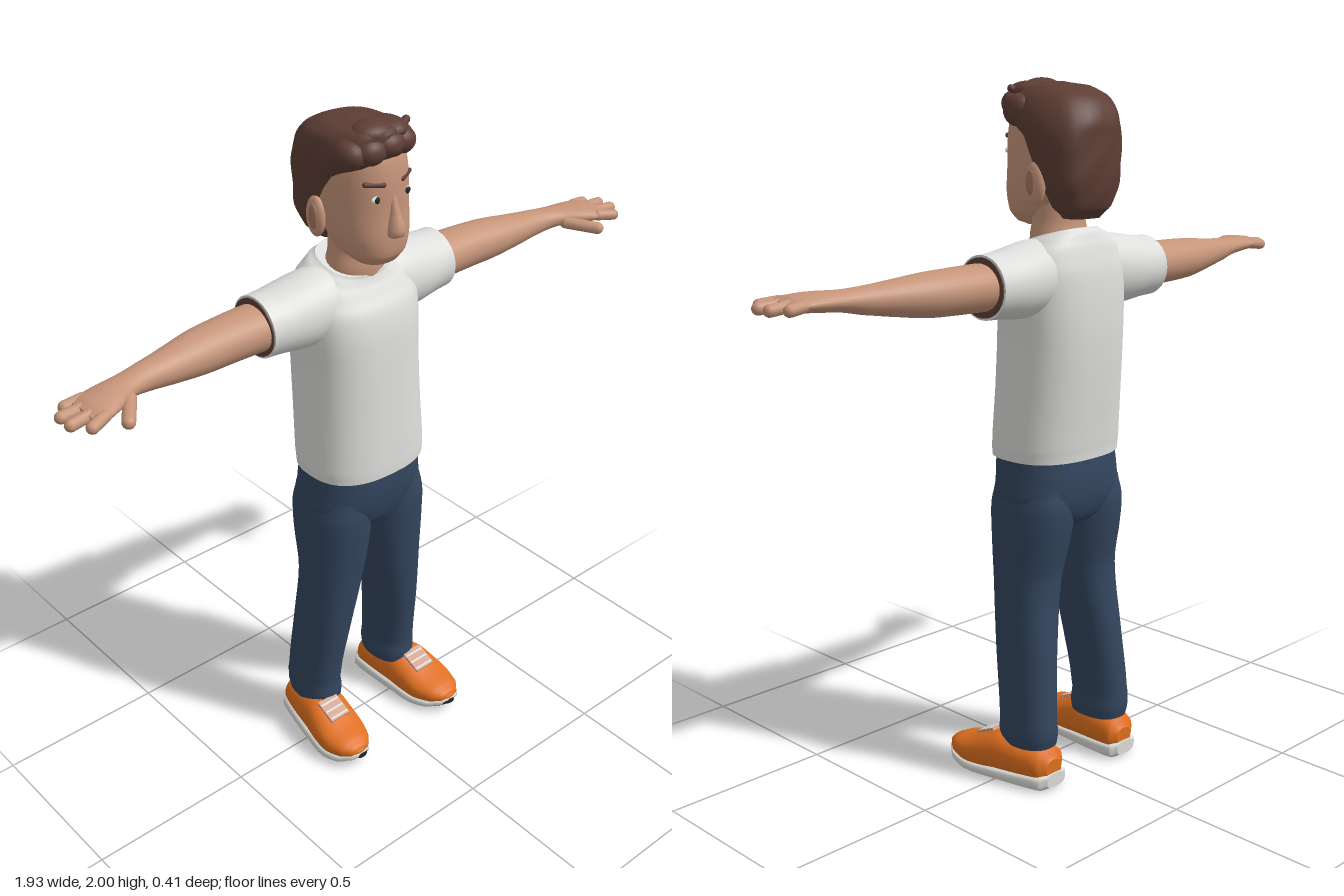
import * as THREE from 'three';

const mat = (name, color) => {
  const m = new THREE.MeshStandardMaterial({ color });
  m.name = name;
  return m;
};

// Smooth tube along axis k (0 x, 1 y, 2 z), capped at both ends.
// Section: [position, centreA, centreB, radiusA, radiusB], where B and A are the next two axes.
function loft(k, sections, { sides = 28, steps = 4, power = 2, warp } = {}) {
  const rows = [];
  const last = sections.length - 1;
  for (let i = 0; i < last; i++) {
    const [p, a, b, q] = [-1, 0, 1, 2].map((d) => sections[Math.min(last, Math.max(0, i + d))]);
    for (let s = 0; s < steps; s++) {
      const t = s / steps;
      rows.push(a.map((v, j) => j === 0 ? v + (b[0] - v) * t : 0.5 * (2 * v + (b[j] - p[j]) * t +
        (2 * p[j] - 5 * v + 4 * b[j] - q[j]) * t * t + (3 * v - p[j] - 3 * b[j] + q[j]) * t ** 3)));
    }
  }
  rows.push(sections[last]);
  const pos = [], index = [];
  const put = (w, a, b) => {
    const v = new THREE.Vector3();
    v.setComponent(k, w).setComponent((k + 1) % 3, b).setComponent((k + 2) % 3, a);
    if (warp) warp(v);
    pos.push(v.x, v.y, v.z);
  };
  const curve = (c) => Math.sign(c) * Math.abs(c) ** (2 / power);
  const ring = ([w, ca, cb, ra, rb]) => {
    for (let j = 0; j < sides; j++) {
      const t = j / sides * Math.PI * 2;
      put(w, ca + ra * curve(Math.cos(t)), cb + rb * curve(Math.sin(t)));
    }
  };
  rows.forEach(ring);
  for (let i = 0; i < rows.length - 1; i++) for (let j = 0; j < sides; j++) {
    const a = i * sides + j, b = i * sides + (j + 1) % sides;
    index.push(a, a + sides, b, b, a + sides, b + sides);
  }
  for (const [row, top] of [[rows[0], false], [rows[rows.length - 1], true]]) {
    const start = pos.length / 3;
    ring(row);
    put(row[0], row[1], row[2]);
    for (let j = 0; j < sides; j++) {
      const a = start + j, b = start + (j + 1) % sides;
      index.push(start + sides, top ? b : a, top ? a : b);
    }
  }
  const g = new THREE.BufferGeometry();
  g.setAttribute('position', new THREE.Float32BufferAttribute(pos, 3));
  g.setIndex(index);
  g.computeVertexNormals();
  return g;
}

// Ellipsoid at a point
const blob = (x, y, z, rx, ry, rz) =>
  new THREE.SphereGeometry(1, 20, 14).scale(rx, ry, rz).translate(x, y, z);

// Rounded rod between two points
function rod(from, to, r) {
  const a = new THREE.Vector3(...from), b = new THREE.Vector3(...to), d = b.clone().sub(a);
  const turn = new THREE.Quaternion().setFromUnitVectors(new THREE.Vector3(0, 1, 0), d.clone().normalize());
  const mid = a.add(b).multiplyScalar(0.5);
  return new THREE.CapsuleGeometry(r, d.length(), 5, 12).applyQuaternion(turn).translate(mid.x, mid.y, mid.z);
}

function mirrored(geometry) {
  const g = geometry.clone().scale(-1, 1, 1);
  const ix = g.index.array;
  for (let i = 0; i < ix.length; i += 3) [ix[i], ix[i + 1]] = [ix[i + 1], ix[i]];
  return g;
}

export function createModel() {
  const skin = mat('skin', 0xc6957a), hair = mat('hair brown', 0x5e3e35), shirt = mat('shirt white', 0xdededc);
  const jeans = mat('denim blue', 0x34465f), orange = mat('shoe orange', 0xe0701f), sole = mat('sole white', 0xdcdcd8);
  const dark = mat('dark', 0x25262c), lip = mat('lip', 0xa97661), tongue = mat('shoe tongue', 0xcfa08a);
  const model = new THREE.Group();
  const add = (name, geometry, material) => {
    const m = new THREE.Mesh(geometry, material);
    m.name = name;
    model.add(m);
  };
  const pair = (name, geometry, material) => {
    add('left' + name, geometry, material);
    add('right' + name, mirrored(geometry), material);
  };

  // Shirt, with a neckline that dips at the front
  add('shirtBody', loft(1, [
    [0.96, 0, -0.022, 0.186, 0.147], [1.0, 0, -0.024, 0.188, 0.148], [1.15, 0, -0.034, 0.182, 0.15],
    [1.3, 0, -0.042, 0.18, 0.15], [1.4, 0, -0.045, 0.184, 0.145], [1.48, 0, -0.05, 0.186, 0.132],
    [1.54, 0, -0.055, 0.165, 0.108], [1.575, 0, -0.055, 0.125, 0.092], [1.59, 0, -0.05, 0.1, 0.085],
  ], { sides: 40, power: 2.5, warp: (v) => {
    const t = Math.max(0, (v.y - 1.45) / 0.14);
    v.y -= 0.28 * t * (v.z + 0.08);
  } }), shirt);
  pair('Sleeve', loft(0, [
    [0.06, -0.055, 1.475, 0.09, 0.095], [0.13, -0.058, 1.473, 0.1, 0.104], [0.2, -0.062, 1.468, 0.1, 0.1],
    [0.27, -0.066, 1.466, 0.094, 0.09], [0.322, -0.068, 1.466, 0.09, 0.087],
  ]), shirt);
  pair('SleeveLining', loft(0, [[0.318, -0.068, 1.466, 0.084, 0.081], [0.326, -0.068, 1.466, 0.084, 0.081]]), hair);

  // Arms and hands
  pair('Arm', loft(0, [
    [0.2, -0.065, 1.465, 0.07, 0.065], [0.33, -0.065, 1.467, 0.074, 0.064], [0.43, -0.063, 1.467, 0.07, 0.062],
    [0.52, -0.057, 1.467, 0.066, 0.058], [0.62, -0.045, 1.469, 0.053, 0.046], [0.7, -0.036, 1.472, 0.043, 0.036],
    [0.76, -0.022, 1.476, 0.044, 0.028], [0.82, 0, 1.478, 0.06, 0.026], [0.88, 0.016, 1.477, 0.068, 0.021],
    [0.905, 0.016, 1.475, 0.058, 0.013],
  ]), skin);
  [[-0.036, 0.918, -0.04], [-0.002, 0.95, -0.004], [0.034, 0.951, 0.042], [0.066, 0.918, 0.084]].forEach(
    ([z, tipX, tipZ], i) => pair('Finger' + (i + 1), rod([0.87, 1.478, z], [tipX, 1.472, tipZ], 0.0165), skin));
  pair('Thumb', rod([0.775, 1.468, 0.025], [0.83, 1.46, 0.102], 0.018), skin);

  // Jeans
  add('jeansHips', loft(1, [
    [0.76, 0, -0.03, 0.09, 0.09], [0.79, 0, -0.031, 0.155, 0.118], [0.84, 0, -0.031, 0.192, 0.134],
    [0.9, 0, -0.028, 0.187, 0.14], [0.97, 0, -0.025, 0.18, 0.138],
  ], { sides: 36, power: 2.4 }), jeans);
  pair('JeansLeg', loft(1, [
    [0.12, 0.15, -0.062, 0.066, 0.088], [0.15, 0.151, -0.063, 0.069, 0.093], [0.2, 0.152, -0.062, 0.065, 0.092],
    [0.4, 0.136, -0.04, 0.07, 0.098], [0.6, 0.114, -0.022, 0.086, 0.1], [0.74, 0.103, -0.028, 0.098, 0.12],
    [0.82, 0.1, -0.03, 0.097, 0.127], [0.88, 0.095, -0.03, 0.088, 0.12],
  ], { power: 2.3 }), jeans);

  // Shoes, toes turned slightly out
  const splay = (v) => { v.x += (v.z + 0.05) * 0.1; };
  pair('ShoeUpper', loft(2, [
    [-0.165, 0.06, 0.162, 0.03, 0.03], [-0.145, 0.07, 0.162, 0.05, 0.056], [-0.08, 0.073, 0.164, 0.06, 0.066],
    [0, 0.076, 0.166, 0.07, 0.073], [0.05, 0.066, 0.168, 0.063, 0.077], [0.11, 0.056, 0.168, 0.047, 0.077],
    [0.165, 0.056, 0.166, 0.031, 0.06], [0.195, 0.056, 0.164, 0.017, 0.034], [0.203, 0.056, 0.164, 0.004, 0.012],
  ], { power: 2.3, warp: splay }), orange);
  pair('ShoeSole', loft(2, [
    [-0.172, 0.03, 0.162, 0.02, 0.035], [-0.155, 0.025, 0.162, 0.024, 0.058], [-0.08, 0.023, 0.164, 0.023, 0.069],
    [0.02, 0.021, 0.167, 0.021, 0.077], [0.1, 0.021, 0.168, 0.019, 0.081], [0.16, 0.029, 0.166, 0.015, 0.066],
    [0.195, 0.042, 0.164, 0.011, 0.038], [0.205, 0.046, 0.164, 0.007, 0.016],
  ], { power: 3.5, warp: splay }), sole);
  pair('ToeGuard', loft(2, [
    [0.165, 0.027, 0.158, 0.014, 0.05], [0.19, 0.036, 0.158, 0.012, 0.034], [0.208, 0.043, 0.16, 0.008, 0.014],
  ], { warp: splay }), dark);
  pair('ShoeTongue', new THREE.BoxGeometry(0.07, 0.008, 0.075).rotateX(0.42).translate(0.178, 0.128, 0.058), tongue);
  for (let i = 0; i < 3; i++) {
    const y = 0.142 - i * 0.0105, z = 0.038 + i * 0.023;
    pair('Lace' + (i + 1), rod([0.147, y - 0.004, z], [0.208, y - 0.004, z], 0.005), sole);
  }

  // Neck and head
  add('neck', loft(1, [
    [1.5, 0, -0.04, 0.08, 0.07], [1.57, 0, -0.037, 0.089, 0.074], [1.62, 0, -0.035, 0.08, 0.068],
    [1.7, 0, -0.035, 0.08, 0.07],
  ]), skin);
  add('head', loft(1, [
    [1.602, 0, 0.045, 0.03, 0.03], [1.612, 0, 0.04, 0.058, 0.058], [1.64, 0, 0.025, 0.086, 0.092],
    [1.69, 0, 0.006, 0.104, 0.116], [1.76, 0, -0.02, 0.112, 0.138], [1.85, 0, -0.03, 0.112, 0.146],
    [1.92, 0, -0.03, 0.1, 0.13], [1.96, 0, -0.03, 0.06, 0.08],
  ], { sides: 36, power: 2.3 }), skin);
  add('nose', loft(1, [
    [1.69, 0, 0.118, 0.008, 0.008], [1.7, 0, 0.122, 0.024, 0.024], [1.72, 0, 0.122, 0.025, 0.028],
    [1.76, 0, 0.115, 0.015, 0.02], [1.81, 0, 0.108, 0.01, 0.01],
  ], { sides: 16 }), skin);
  add('mouth', blob(0, 1.663, 0.111, 0.032, 0.005, 0.007), lip);
  pair('Ear', blob(0.115, 1.725, -0.06, 0.019, 0.058, 0.034).rotateY(0), skin);
  pair('InnerEar', blob(0.13, 1.728, -0.055, 0.006, 0.034, 0.017), lip);

  // Eyes and brows
  pair('EyeWhite', blob(0.052, 1.805, 0.105, 0.016, 0.01, 0.006), sole);
  pair('Pupil', blob(0.052, 1.805, 0.11, 0.008, 0.0095, 0.004), dark);
  pair('Brow', rod([0.032, 1.842, 0.111], [0.075, 1.846, 0.088], 0.007), hair);

  // Hair: a lumpy cap open at the face, with a swept fringe
  add('hairCap', loft(1, [
    [1.63, 0, -0.12, 0.055, 0.04], [1.66, 0, -0.122, 0.088, 0.062], [1.72, 0, -0.118, 0.115, 0.08],
    [1.79, 0, -0.1, 0.125, 0.102], [1.85, -0.003, -0.082, 0.13, 0.118], [1.885, -0.006, -0.055, 0.13, 0.143],
    [1.92, -0.012, -0.035, 0.125, 0.148], [1.955, -0.018, -0.02, 0.11, 0.132], [1.98, -0.02, 0.005, 0.08, 0.1],
    [1.99, -0.02, 0.02, 0.03, 0.045],
  ], { sides: 40, power: 2.5, warp: (v) => {
    const s = 1 + 0.018 * Math.sin(v.x * 60 + v.y * 25) * Math.cos(v.z * 45 - v.y * 30);
    v.x *= s;
    v.z = (v.z + 0.05) * s - 0.05;
  } }), hair);
  [[-0.1, 1.925, 0.055, 0.04, 0.04, 0.05], [-0.055, 1.93, 0.088, 0.045, 0.036, 0.036],
    [0, 1.938, 0.094, 0.045, 0.034, 0.034], [0.055, 1.932, 0.078, 0.04, 0.036, 0.038],
    [0.09, 1.915, 0.03, 0.034, 0.045, 0.05], [-0.03, 1.97, 0.06, 0.06, 0.03, 0.05],
    [0.03, 1.965, 0.05, 0.05, 0.027, 0.06]].forEach((b, i) => add('hairTuft' + (i + 1), blob(...b), hair));
  add('hairCurl', rod([0.05, 1.965, 0.08], [0.088, 1.972, 0.06], 0.011), hair);

  return model;
}
